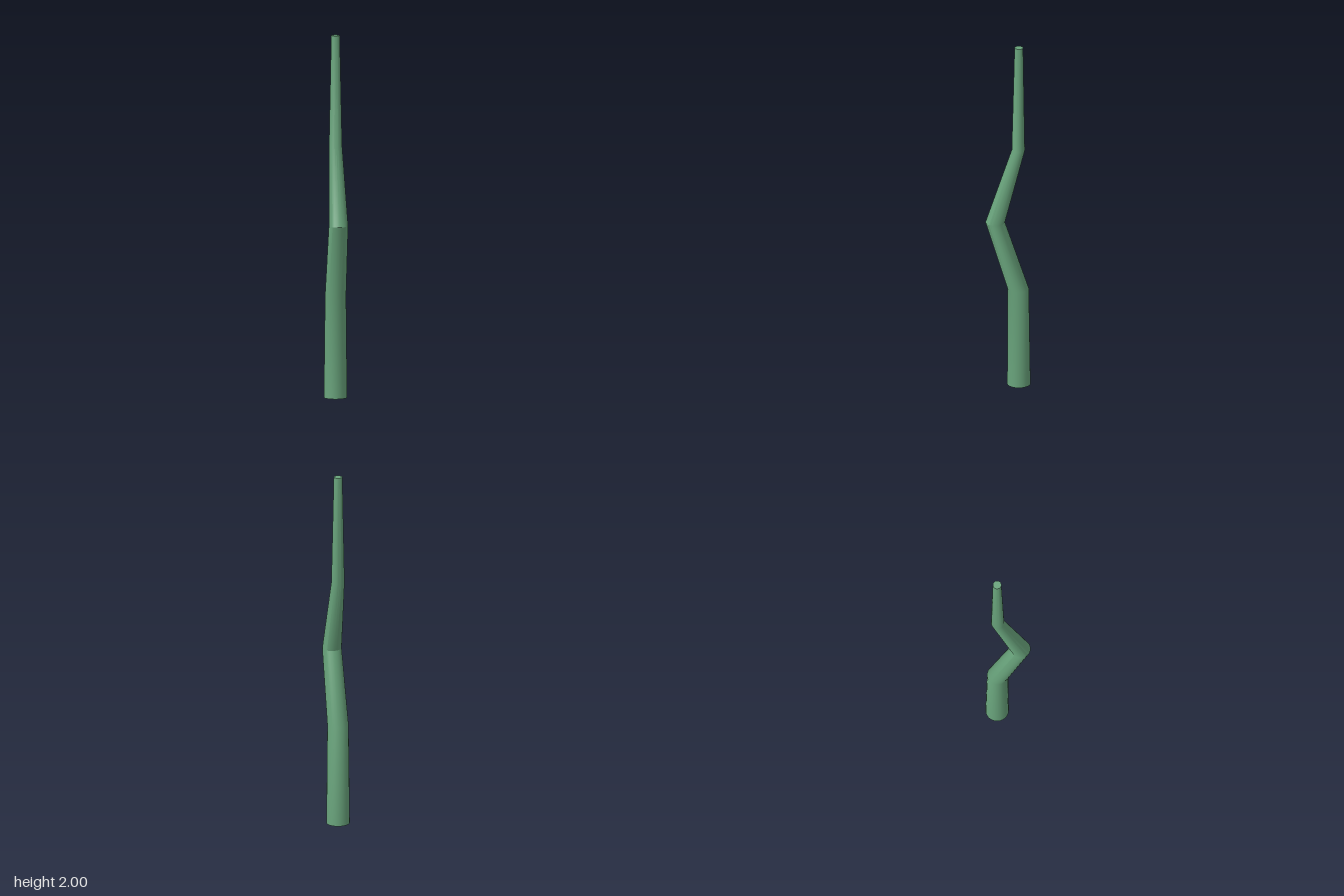
import * as THREE from 'three';
import { toCreasedNormals } from 'three/addons/utils/BufferGeometryUtils.js';

// Rings of the stem from bottom to top: [height, z offset, radius]
const RINGS = [
  [0, -0.06, 0.064],
  [0.565, -0.057, 0.058],
  [0.967, 0.07, 0.053],
  [1.39, -0.057, 0.036],
  [2, -0.06, 0.0235],
];

export function createModel() {
  const group = new THREE.Group();
  group.name = 'bentStem';

  // Unit cylinder whose height rows are moved onto the rings
  const rows = RINGS.length - 1;
  const geometry = new THREE.CylinderGeometry(1, 1, rows, 24, rows);
  const pos = geometry.attributes.position;
  for (let i = 0; i < pos.count; i++) {
    const [y, z, r] = RINGS[Math.round(pos.getY(i) + rows / 2)];
    pos.setXYZ(i, pos.getX(i) * r, y, pos.getZ(i) * r + z);
  }

  // Smooth round the stem, sharp at the middle bend and the caps
  const stem = new THREE.Mesh(
    toCreasedNormals(geometry, 0.42),
    new THREE.MeshStandardMaterial({ color: 0x69a47c })
  );
  stem.name = 'stem';
  group.add(stem);
  return group;
}
